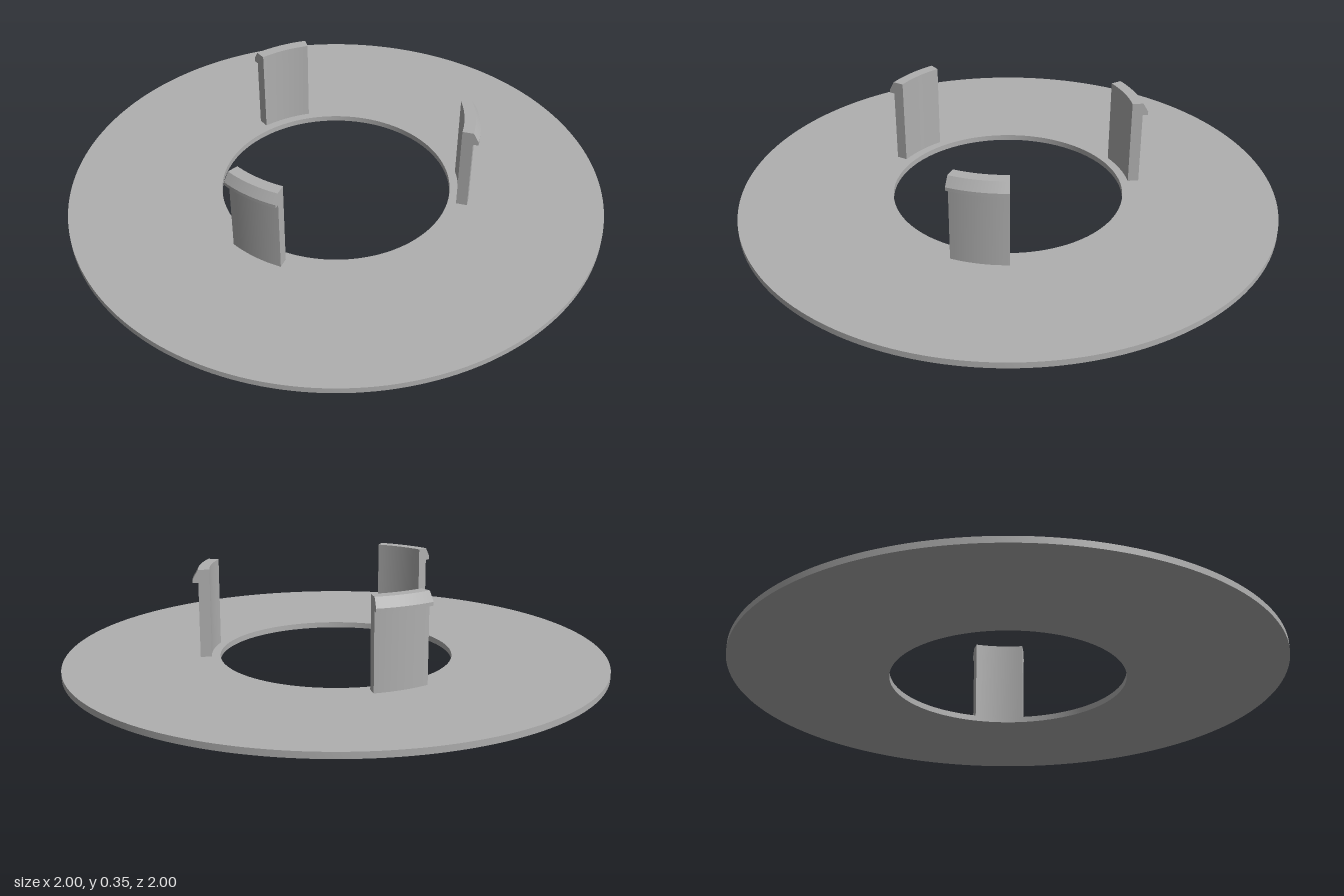
import * as THREE from 'three';
import { toCreasedNormals } from 'three/addons/utils/BufferGeometryUtils.js';

const PLATE_TOP = 0.022;
const HALF_ANGLE = 0.207;

// Flat annular plate lying on the ground
function plateGeometry() {
  const shape = new THREE.Shape().absarc(0, 0, 1, 0, Math.PI * 2, false);
  shape.holes.push(new THREE.Path().absarc(0, 0, 0.431, 0, Math.PI * 2, true));
  const geo = new THREE.ExtrudeGeometry(shape, { depth: PLATE_TOP, bevelEnabled: false, curveSegments: 96 });
  geo.rotateX(-Math.PI / 2);
  return toCreasedNormals(geo, 0.5);
}

// Hooked profile (radius, height) extruded, then bent around the y axis
function clipGeometry() {
  const profile = [
    [0.463, PLATE_TOP - 0.004], [0.504, PLATE_TOP - 0.004], [0.504, 0.302],
    [0.524, 0.302], [0.524, 0.315], [0.504, 0.35], [0.463, 0.35],
  ].map(([r, y]) => new THREE.Vector2(r, y));
  const geo = new THREE.ExtrudeGeometry(new THREE.Shape(profile), { depth: 1, steps: 12, bevelEnabled: false });
  const pos = geo.attributes.position;
  for (let i = 0; i < pos.count; i++) {
    const r = pos.getX(i);
    const phi = HALF_ANGLE * (1 - 2 * pos.getZ(i));
    pos.setXYZ(i, r * Math.sin(phi), pos.getY(i), r * Math.cos(phi));
  }
  return toCreasedNormals(geo, 0.4);
}

export function createModel() {
  const group = new THREE.Group();
  group.name = 'clipRing';
  const grey = new THREE.MeshStandardMaterial({ color: 0xb0b0b0 });
  grey.name = 'grey';

  const plate = new THREE.Mesh(plateGeometry(), grey);
  plate.name = 'ringPlate';
  group.add(plate);

  // Three snap clips spaced evenly around the opening
  const clipGeo = clipGeometry();
  ['frontClip', 'backLeftClip', 'backRightClip'].forEach((name, i) => {
    const clip = new THREE.Mesh(clipGeo, grey);
    clip.name = name;
    clip.rotation.y = (i * Math.PI * 2) / 3;
    group.add(clip);
  });
  return group;
}
